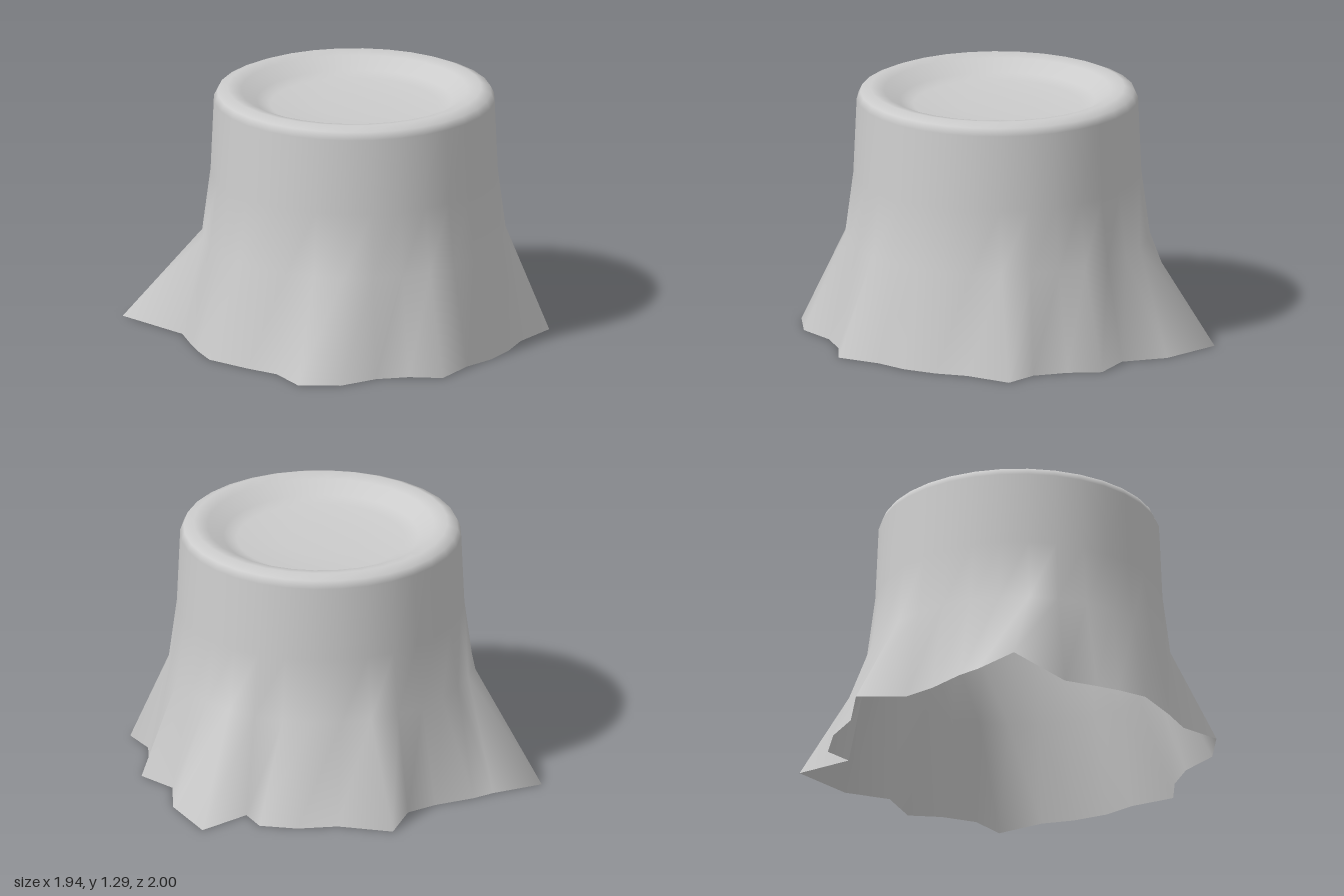
import * as THREE from 'three';

// Ragged foot outline (x, z), one point per segment, starting at the back and going round by the left
const FOOT = [
  [-0.05, -0.83], [0.14, -1.0], [0.35, -0.8], [0.54, -0.72], [0.69, -0.59], [0.68, -0.44], [0.97, -0.49], [0.95, -0.16],
  [0.83, 0.05], [0.89, 0.26], [0.77, 0.39], [0.68, 0.55], [0.68, 0.73], [0.44, 0.785], [0.29, 0.865], [0.12, 0.92],
  [-0.05, 0.93], [-0.27, 0.995], [-0.39, 0.87], [-0.54, 0.785], [-0.75, 0.75], [-0.91, 0.6], [-0.87, 0.39], [-0.92, 0.22],
  [-0.97, -0.02], [-0.92, -0.17], [-0.87, -0.28], [-0.79, -0.44], [-0.82, -0.87], [-0.55, -0.84], [-0.43, -0.845], [-0.22, -0.82],
];

// Round rings (radius, y) from the trunk up over the rim and into the dished top
const RINGS = [
  [0.78, 0.51], [0.737, 0.84], [0.72, 1.23], [0.702, 1.268], [0.65, 1.29],
  [0.58, 1.275], [0.5, 1.22], [0.43, 1.2], [0.2, 1.19],
];

const CX = -0.05, CZ = 0.05; // trunk axis

export function createModel() {
  const n = FOOT.length;
  const positions = [];
  const index = [];

  for (const [x, z] of FOOT) positions.push(x, 0, z);
  for (const [r, y] of RINGS) {
    for (let k = 0; k < n; k++) {
      const a = (k / n) * Math.PI * 2;
      positions.push(CX + r * Math.sin(a), y, CZ - r * Math.cos(a));
    }
  }
  positions.push(CX, 1.19, CZ);

  // Skin between neighbouring rings
  for (let j = 0; j < RINGS.length; j++) {
    for (let k = 0; k < n; k++) {
      const a = j * n + k, b = j * n + (k + 1) % n;
      index.push(a, a + n, b, b, a + n, b + n);
    }
  }
  // Close the middle of the dish
  const last = RINGS.length * n;
  for (let k = 0; k < n; k++) index.push(last + k, last + n, last + (k + 1) % n);

  const geometry = new THREE.BufferGeometry();
  geometry.setAttribute('position', new THREE.Float32BufferAttribute(positions, 3));
  geometry.setIndex(index);
  geometry.computeVertexNormals();

  // The foot is open underneath, so the skin shows from both sides
  const stump = new THREE.Mesh(
    geometry,
    new THREE.MeshStandardMaterial({ color: 0xcccccc, side: THREE.DoubleSide }),
  );
  stump.name = 'stump';

  const group = new THREE.Group();
  group.name = 'treeStump';
  group.add(stump);
  return group;
}
